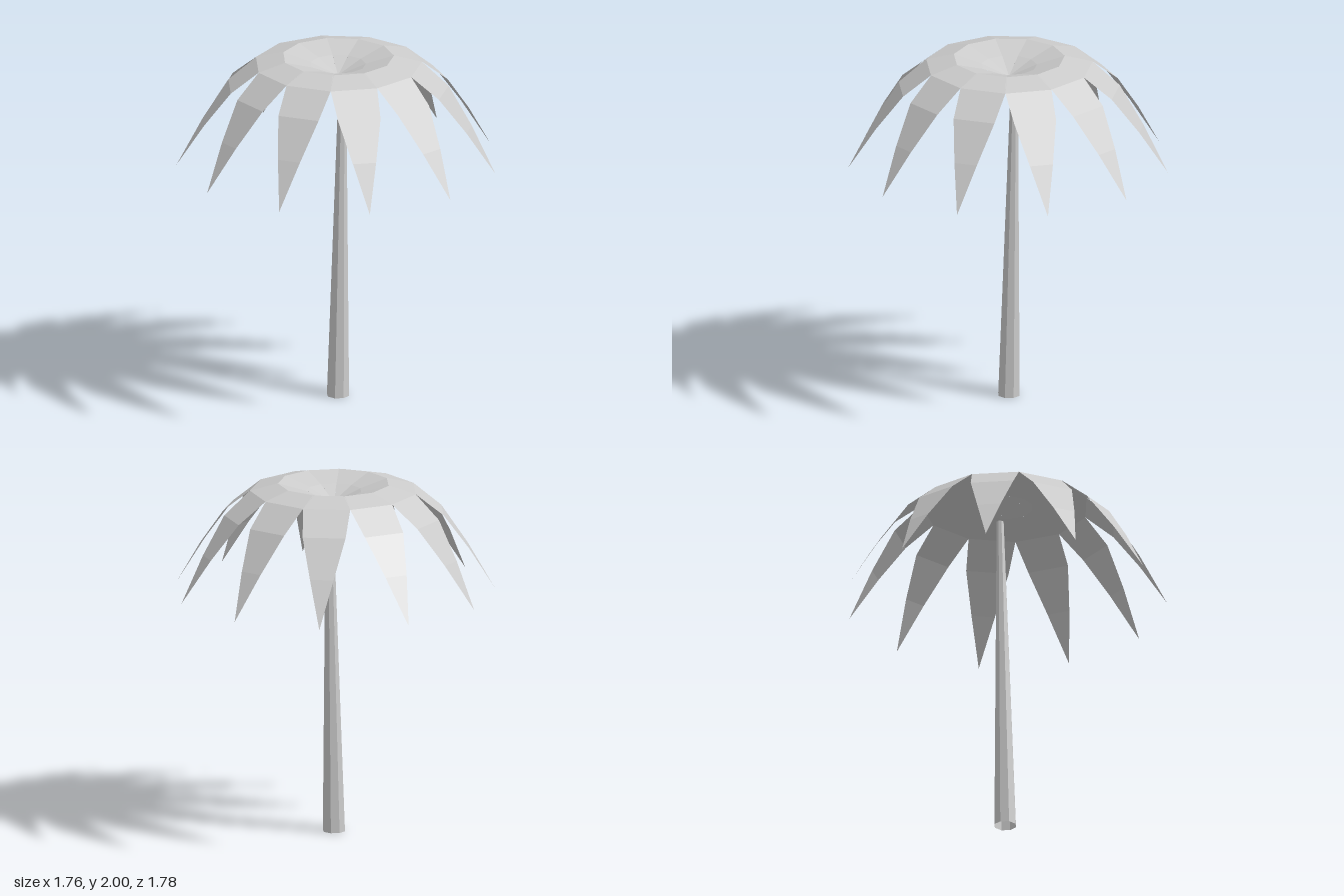
import * as THREE from 'three';

const material = new THREE.MeshStandardMaterial({ color: 0xcccccc, flatShading: true, side: THREE.DoubleSide });

const FROND_COUNT = 11;
// Stations along one frond: distance from the crown centre, height, half width
const STATIONS = [
  [0, 1.89, 0],
  [0.15, 1.955, 0.044],
  [0.3, 2.0, 0.092],
  [0.45, 1.96, 0.132],
  [0.605, 1.835, 0.12],
  [0.75, 1.63, 0.066],
  [0.9, 1.38, 0],
];

// A folded strip, pointed at both ends, lying along +x
function frondGeometry() {
  const positions = [];
  const index = [];
  for (const [r, y, half] of STATIONS) positions.push(r, y, half, r, y, -half);
  const last = STATIONS.length - 2;
  for (let i = 0; i <= last; i++) {
    const a = i * 2; // +z side, then -z side of this station
    if (i < last) index.push(a, a + 2, a + 3);
    else index.push(a, a + 2, a + 1);
    if (i > 0 && i < last) index.push(a, a + 3, a + 1);
  }
  const geometry = new THREE.BufferGeometry();
  geometry.setAttribute('position', new THREE.Float32BufferAttribute(positions, 3));
  geometry.setIndex(index);
  geometry.computeVertexNormals();
  return geometry;
}

// Tapered open tube that leans towards +x as it rises
function trunkGeometry() {
  const height = 1.88;
  const geometry = new THREE.CylinderGeometry(0.021, 0.064, height, 8, 1, true, Math.PI / 8);
  geometry.translate(0, height / 2, 0);
  const p = geometry.attributes.position;
  for (let i = 0; i < p.count; i++) {
    p.setX(i, p.getX(i) - 0.02 + 0.042 * (p.getY(i) / height));
  }
  geometry.computeVertexNormals();
  return geometry;
}

export function createModel() {
  const palm = new THREE.Group();
  palm.name = 'palmTree';

  const trunk = new THREE.Mesh(trunkGeometry(), material);
  trunk.name = 'trunk';
  palm.add(trunk);

  // Ring of fronds meeting in a shallow dip at the centre
  const crown = new THREE.Group();
  crown.name = 'crown';
  crown.position.x = -0.02;
  const frond = frondGeometry();
  for (let i = 0; i < FROND_COUNT; i++) {
    const mesh = new THREE.Mesh(frond, material);
    mesh.name = 'frond' + (i + 1);
    mesh.rotation.y = (i / FROND_COUNT) * Math.PI * 2;
    crown.add(mesh);
  }
  palm.add(crown);

  return palm;
}
